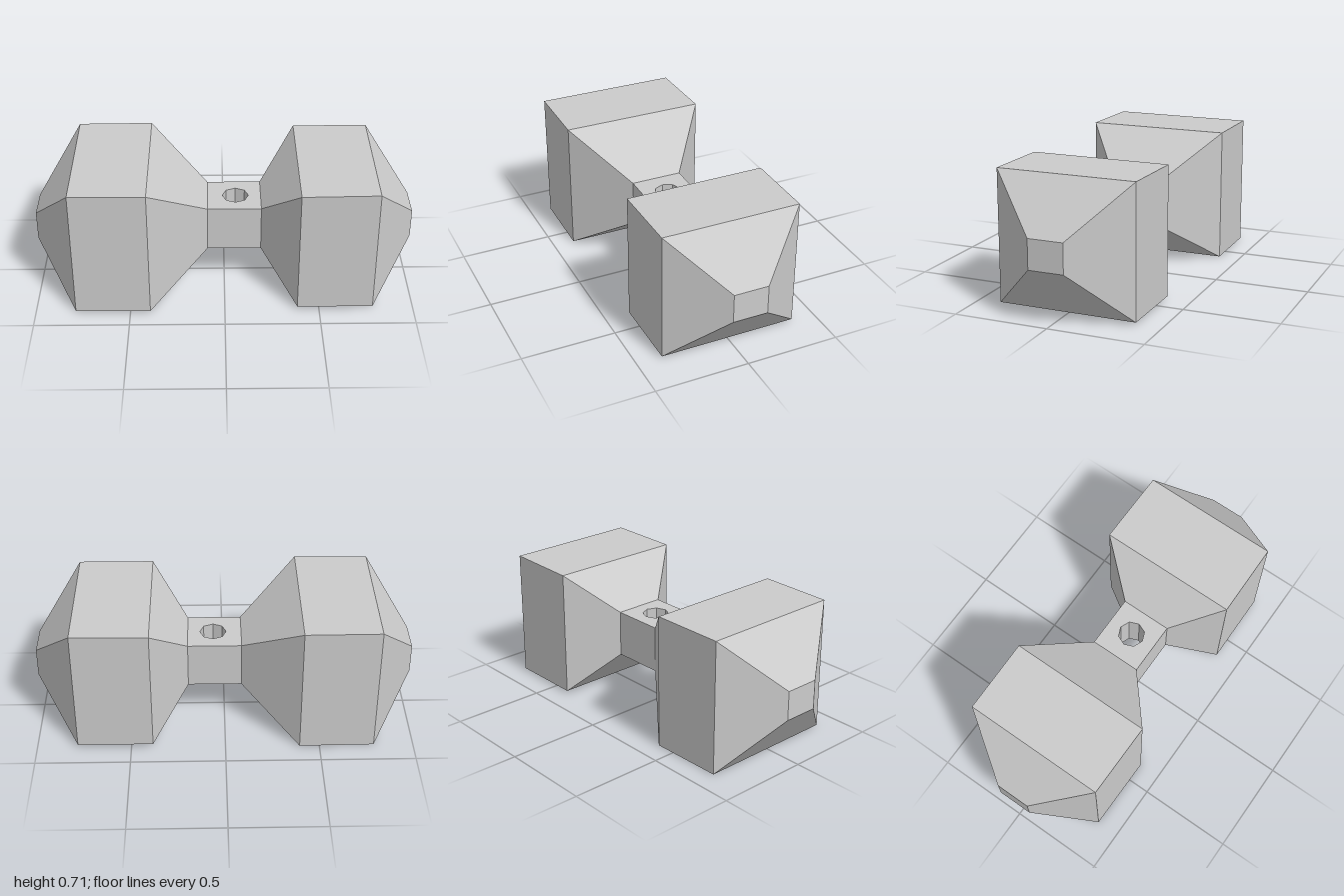
import * as THREE from 'three';

const MID_Y = 0.357;
const material = new THREE.MeshStandardMaterial({ color: 0xcccccc, flatShading: true });

// Lofts rectangles [x, half height, half depth] along x; closes the end at capIndex
function loftRects(sections, capIndex) {
  const corners = [[1, 1], [-1, 1], [-1, -1], [1, -1]];
  const rings = sections.map(([x, hy, hz]) => corners.map(([sy, sz]) => [x, MID_Y + sy * hy, sz * hz]));
  const positions = [];
  const quad = (a, b, c, d) => positions.push(...a, ...b, ...c, ...a, ...c, ...d);
  for (let s = 0; s < rings.length - 1; s++) {
    for (let i = 0; i < 4; i++) {
      const j = (i + 1) % 4;
      quad(rings[s][i], rings[s][j], rings[s + 1][j], rings[s + 1][i]);
    }
  }
  const end = rings[capIndex];
  quad(...(capIndex === 0 ? [...end].reverse() : end));
  const geometry = new THREE.BufferGeometry();
  geometry.setAttribute('position', new THREE.Float32BufferAttribute(positions, 3));
  geometry.computeVertexNormals();
  return geometry;
}

// Central block with an eight-sided hole running vertically through it
function neckGeometry(x0, x1, halfHeight, halfDepth) {
  const shape = new THREE.Shape([
    new THREE.Vector2(x0, -halfDepth), new THREE.Vector2(x1, -halfDepth),
    new THREE.Vector2(x1, halfDepth), new THREE.Vector2(x0, halfDepth),
  ]);
  const hole = [];
  for (let i = 0; i < 8; i++) {
    const a = (-i * Math.PI) / 4;
    hole.push(new THREE.Vector2(0.06 + 0.07 * Math.cos(a), 0.07 * Math.sin(a)));
  }
  shape.holes.push(new THREE.Path(hole));
  const geometry = new THREE.ExtrudeGeometry(shape, { depth: 2 * halfHeight, bevelEnabled: false });
  geometry.rotateX(-Math.PI / 2);
  geometry.translate(0, MID_Y - halfHeight, 0);
  return geometry;
}

export function createModel() {
  const group = new THREE.Group();
  group.name = 'malletHead';
  const add = (name, geometry) => {
    const mesh = new THREE.Mesh(geometry, material);
    mesh.name = name;
    group.add(mesh);
  };

  // Larger striking head with a long taper to the neck
  add('rightStrikingHead', loftRects([
    [-1, 0.078, 0.093],
    [-0.79, 0.356, 0.38],
    [-0.395, 0.357, 0.384],
    [-0.09, 0.125, 0.137],
  ], 0));

  // Slightly smaller striking head with a shorter taper
  add('leftStrikingHead', loftRects([
    [0.195, 0.125, 0.137],
    [0.385, 0.343, 0.372],
    [0.785, 0.346, 0.368],
    [1, 0.078, 0.093],
  ], 3));

  add('neckWithHandleHole', neckGeometry(-0.09, 0.195, 0.125, 0.137));
  return group;
}
